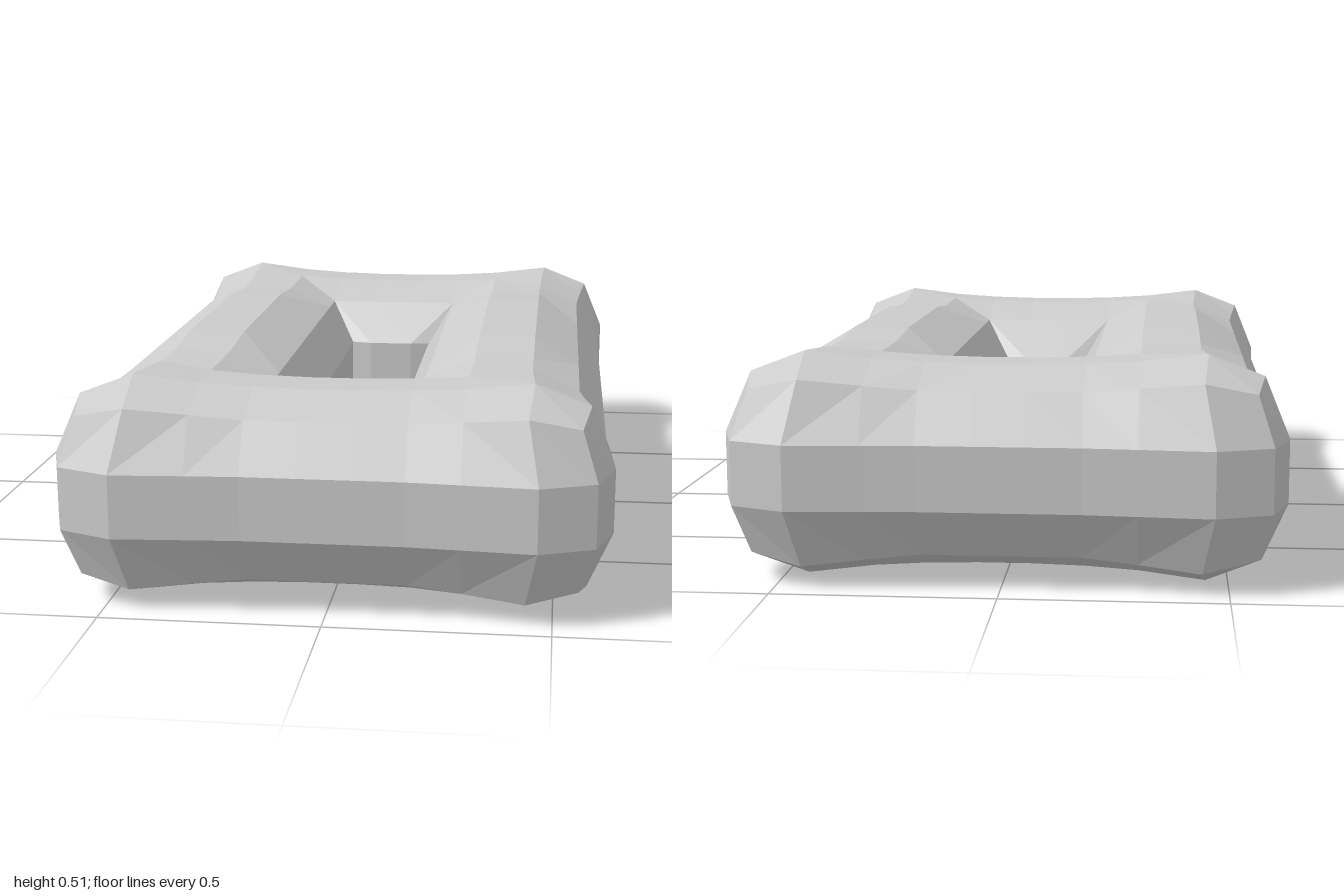
import * as THREE from 'three';

// Stations along a quarter of the ring: long side, then (corner), then short side
const SIDE_Z = [0.27, 0.45, 0.57, 0.68];
const END_X = [0.3, 0.18, 0.06];
const MID_Y = 0.2575;

// Rows around the upper half of the tube, from outer wall to inner wall.
// x: offset of the long side, z: offset of the short side,
// sideY / endY: heights at the stations, corner: points turning the corner
const ROWS = [
  { x: 0.615, z: 0.98, flare: 0.008, sideY: [0.33, 0.33, 0.33, 0.33], endY: [0.33, 0.33, 0.33],
    corner: [[0.63, 0.33, 0.83], [0.59, 0.33, 0.95], [0.465, 0.33, 1.0]] },
  { x: 0.55, z: 0.917, flare: 0.01, sideY: [0.44, 0.44, 0.442, 0.452], endY: [0.451, 0.44, 0.44],
    corner: [[0.575, 0.465, 0.805], [0.555, 0.44, 0.92], [0.44, 0.465, 0.945]] },
  { x: 0.44, z: 0.8, flare: 0.004, sideY: [0.506, 0.492, 0.492, 0.503], endY: [0.495, 0.488, 0.485],
    corner: [[0.45, 0.513, 0.81]] },
  { x: 0.3, z: 0.68, flare: 0, sideY: [0.506, 0.493, 0.493, 0.495], endY: [0.495, 0.488, 0.485],
    corner: [[0.3, 0.495, 0.675]] },
  { x: 0.18, z: 0.55, flare: 0, sideY: [0.44, 0.44, 0.44, 0.44], endY: [0.44, 0.44, 0.44],
    corner: [[0.18, 0.44, 0.55]] },
  { x: 0.113, z: 0.466, flare: 0, sideY: [0.33, 0.33, 0.33, 0.33], endY: [0.33, 0.33, 0.33],
    corner: [[0.115, 0.33, 0.478]] },
];

// One quarter of a row; stations past the corner collapse onto it
function quarterRow(row) {
  const first = row.corner[0];
  const last = row.corner[row.corner.length - 1];
  const side = SIDE_Z.map((z, i) =>
    z >= first[2] ? first : [row.x + (i === 3 ? row.flare : 0), row.sideY[i], z]);
  const turn = row.corner.length === 3 ? row.corner : [first, first, first];
  const end = END_X.map((x, i) =>
    x >= last[0] ? last : [x, row.endY[i], row.z + (i === 0 ? row.flare : 0)]);
  return [...side, ...turn, ...end];
}

// Mirror the quarter into a full closed row
function fullRow(row) {
  const q = quarterRow(row);
  const loop = [];
  for (const [sx, sz] of [[1, 1], [-1, 1], [-1, -1], [1, -1]]) {
    const part = q.map(([x, y, z]) => new THREE.Vector3(x * sx, y, z * sz));
    loop.push(...(sx * sz > 0 ? part : part.reverse()));
  }
  return loop;
}

function ringGeometry() {
  const upper = ROWS.map(fullRow);
  const lower = upper.map((loop) =>
    loop.map((p) => new THREE.Vector3(p.x, 2 * MID_Y - p.y, p.z))).reverse();
  const rows = [...upper, ...lower];
  const positions = [];
  const addTriangle = (a, b, c) => {
    const area = b.clone().sub(a).cross(c.clone().sub(a)).length();
    if (area > 1e-7) for (const p of [a, b, c]) positions.push(p.x, p.y, p.z);
  };
  const count = rows[0].length;
  for (let j = 0; j < rows.length; j++) {
    const low = rows[j];
    const high = rows[(j + 1) % rows.length];
    for (let i = 0; i < count; i++) {
      const k = (i + 1) % count;
      const [a, b, c, d] = [low[i], high[i], high[k], low[k]];
      // Alternate the diagonal so all quarters stay mirror images
      const flip = (Math.floor(i / (count / 4)) % 2 === 1) !== (j >= ROWS.length);
      if (flip) {
        addTriangle(a, b, d);
        addTriangle(b, c, d);
      } else {
        addTriangle(a, b, c);
        addTriangle(a, c, d);
      }
    }
  }
  const geometry = new THREE.BufferGeometry();
  geometry.setAttribute('position', new THREE.Float32BufferAttribute(positions, 3));
  geometry.computeVertexNormals();
  return geometry;
}

export function createModel() {
  const group = new THREE.Group();
  group.name = 'rectangularLink';
  const material = new THREE.MeshStandardMaterial({ color: 0xcccccc, flatShading: true });
  const ring = new THREE.Mesh(ringGeometry(), material);
  ring.name = 'linkRing';
  group.add(ring);
  return group;
}
